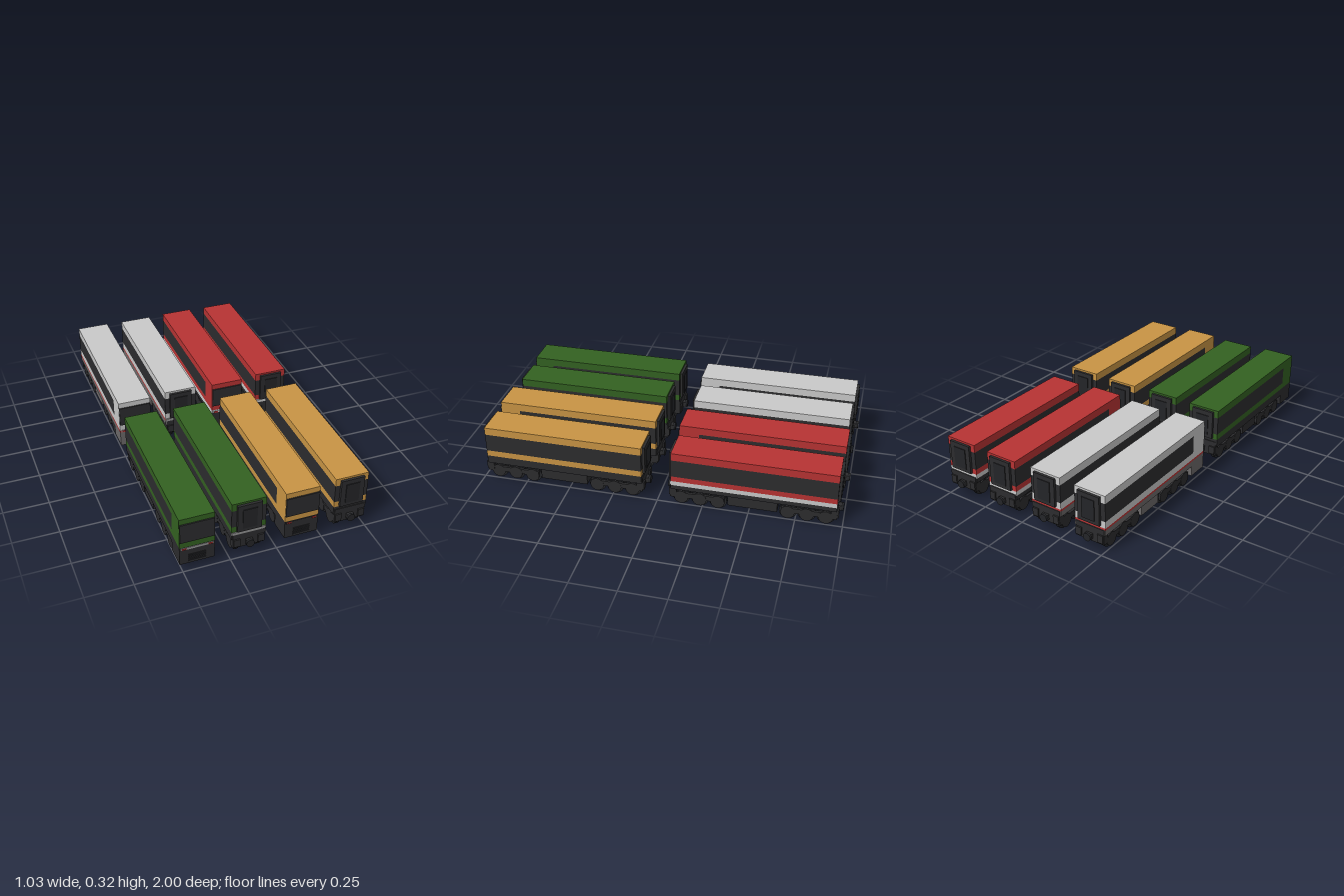
import * as THREE from 'three';

const mat = (name, color) => {
  const m = new THREE.MeshStandardMaterial({ color });
  m.name = name;
  return m;
};

export function createModel() {
  const M = {
    green: mat('green paint', 0x336121),
    ochre: mat('ochre paint', 0xc89444),
    red: mat('red paint', 0xb73333),
    white: mat('white paint', 0xc9c9c9),
    grey: mat('skirt grey', 0x6c6969),
    light: mat('strip grey', 0x929292),
    dark: mat('dark glass and frame', 0x2c2c2e),
    black: mat('wheel black', 0x242528),
  };

  // Box given by its x half-width, y range and z range
  function box(parent, name, m, hw, y0, y1, z0, z1, x = 0) {
    const mesh = new THREE.Mesh(new THREE.BoxGeometry(hw * 2, y1 - y0, z1 - z0), m);
    mesh.position.set(x, (y0 + y1) / 2, (z0 + z1) / 2);
    mesh.name = name;
    parent.add(mesh);
    return mesh;
  }

  const wheelGeo = new THREE.CylinderGeometry(0.048, 0.048, 0.018, 24).rotateZ(Math.PI / 2);
  const hubGeo = new THREE.CylinderGeometry(0.034, 0.038, 0.016, 20).rotateZ(Math.PI / 2);
  const axleGeo = new THREE.CylinderGeometry(0.012, 0.012, 0.1, 10).rotateZ(Math.PI / 2);
  const couplerGeo = new THREE.CylinderGeometry(0.022, 0.022, 0.012, 20).rotateX(Math.PI / 2);

  // Three-axle bogie
  function bogie(car, z) {
    const g = new THREE.Group();
    g.name = 'bogie';
    g.position.z = z;
    box(g, 'bogieFrame', M.dark, 0.045, 0.045, 0.1, -0.14, 0.14);
    for (const s of [-1, 1]) {
      box(g, 'sideFrame', M.dark, 0.007, 0.045, 0.075, -0.135, 0.135, s * 0.075);
      for (const a of [-0.1, 0, 0.1]) {
        const w = new THREE.Mesh(wheelGeo, M.black);
        w.name = 'wheel';
        w.position.set(s * 0.058, 0.048, a);
        const h = new THREE.Mesh(hubGeo, M.dark);
        h.name = 'axleHub';
        h.position.set(s * 0.075, 0.048, a);
        if (s < 0) h.rotation.y = Math.PI;
        g.add(w, h);
      }
    }
    for (const a of [-0.1, 0, 0.1]) {
      const axle = new THREE.Mesh(axleGeo, M.black);
      axle.name = 'axle';
      axle.position.set(0, 0.048, a);
      g.add(axle);
    }
    car.add(g);
  }

  // Gangway door, buffer beam and coupler; built facing +z
  function coachEnd(car, z, dir) {
    const g = new THREE.Group();
    g.name = 'gangwayEnd';
    g.position.z = z;
    if (dir < 0) g.rotation.y = Math.PI;
    box(g, 'gangwayFrame', M.dark, 0.065, 0.152, 0.314, -0.005, 0.014);
    box(g, 'gangwayDoor', M.black, 0.038, 0.172, 0.288, 0.013, 0.018);
    box(g, 'endBeam', M.dark, 0.085, 0.045, 0.13, -0.03, 0.004);
    for (const s of [-1, 1]) box(g, 'bufferBlock', M.dark, 0.017, 0.055, 0.1, 0, 0.012, s * 0.065);
    box(g, 'couplerBar', M.dark, 0.018, 0.06, 0.09, 0, 0.022);
    const c = new THREE.Mesh(couplerGeo, M.black);
    c.name = 'couplerHead';
    c.position.set(0, 0.075, 0.025);
    g.add(c);
    car.add(g);
  }

  // Flat front with windscreen, lamps and vented skirt
  function cabFront(car, z, strip, skirt) {
    box(car, 'windscreen', M.dark, 0.09, 0.182, 0.294, z - 0.002, z + 0.007);
    box(car, 'noseStrip', strip, 0.085, 0.131, 0.144, z - 0.002, z + 0.003);
    for (const s of [-1, 1]) box(car, 'tailLamp', M.red, 0.011, 0.133, 0.142, z, z + 0.006, s * 0.068);
    box(car, 'noseSkirt', skirt, 0.091, 0.04, 0.13, z - 0.12, z);
    for (let i = 0; i < 4; i++) box(car, 'vent', M.black, 0.045, 0.054 + i * 0.012, 0.06 + i * 0.012, z, z + 0.004);
  }

  const W = 0.092;

  function makeCar(livery, isCab) {
    const car = new THREE.Group();
    car.name = isCab ? 'cabCar' : 'coach';
    const { paint, skirt, stripe, stripeRange, endStrip } = livery;
    const z0 = isCab ? 0.072 : 0.08;
    const z1 = isCab ? 0.983 : 0.965;
    const zWin = isCab ? z1 - 0.11 : z1;

    // Body in stacked bands
    const [s0, s1] = stripeRange;
    box(car, 'roof', paint, W, 0.282, 0.325, z0, z1);
    box(car, 'windowBand', M.dark, W, 0.18, 0.282, z0, zWin);
    if (isCab) box(car, 'cabSide', paint, W, 0.18, 0.282, zWin, z1);
    box(car, 'lowerPanel', paint, W, s1, 0.18, z0, z1);
    if (s1 > s0) box(car, 'stripe', stripe, W, s0, s1, z0, z1);
    box(car, 'skirt', skirt, W, 0.1, s0, z0, z1);

    // Underfloor equipment between the bogies
    box(car, 'underframe', skirt, 0.085, 0.04, 0.1, 0.39, isCab ? 0.54 : 0.655);

    bogie(car, 0.235);
    coachEnd(car, z0, -1);
    if (isCab) {
      bogie(car, 0.705);
      cabFront(car, z1, endStrip, skirt);
    } else {
      bogie(car, 0.81);
      coachEnd(car, z1, 1);
      if (endStrip !== M.dark) box(car, 'endStrip', endStrip, W, 0.13, 0.146, z1 - 0.002, z1 + 0.005);
    }
    return car;
  }

  const liveries = {
    green: { paint: M.green, skirt: M.dark, stripe: M.dark, stripeRange: [0.146, 0.146], endStrip: M.light },
    ochre: { paint: M.ochre, skirt: M.dark, stripe: M.dark, stripeRange: [0.146, 0.146], endStrip: M.dark },
    red: { paint: M.red, skirt: M.dark, stripe: M.white, stripeRange: [0.125, 0.15], endStrip: M.white },
    white: { paint: M.white, skirt: M.grey, stripe: M.red, stripeRange: [0.131, 0.142], endStrip: M.light },
  };

  // Two rows of four: a cab car and a coach in each livery
  const root = new THREE.Group();
  root.name = 'trainCars';
  const xs = [-0.421, -0.143, 0.137, 0.417];
  const rows = [
    { names: ['green', 'ochre'], dx: 0, dz: 0.005 },
    { names: ['white', 'red'], dx: 0.005, dz: -1.044 },
  ];
  for (const { names, dx, dz } of rows) {
    xs.forEach((x, i) => {
      const car = makeCar(liveries[names[i >> 1]], i % 2 === 0);
      car.position.set(x + dx, 0, dz);
      root.add(car);
    });
  }
  return root;
}
